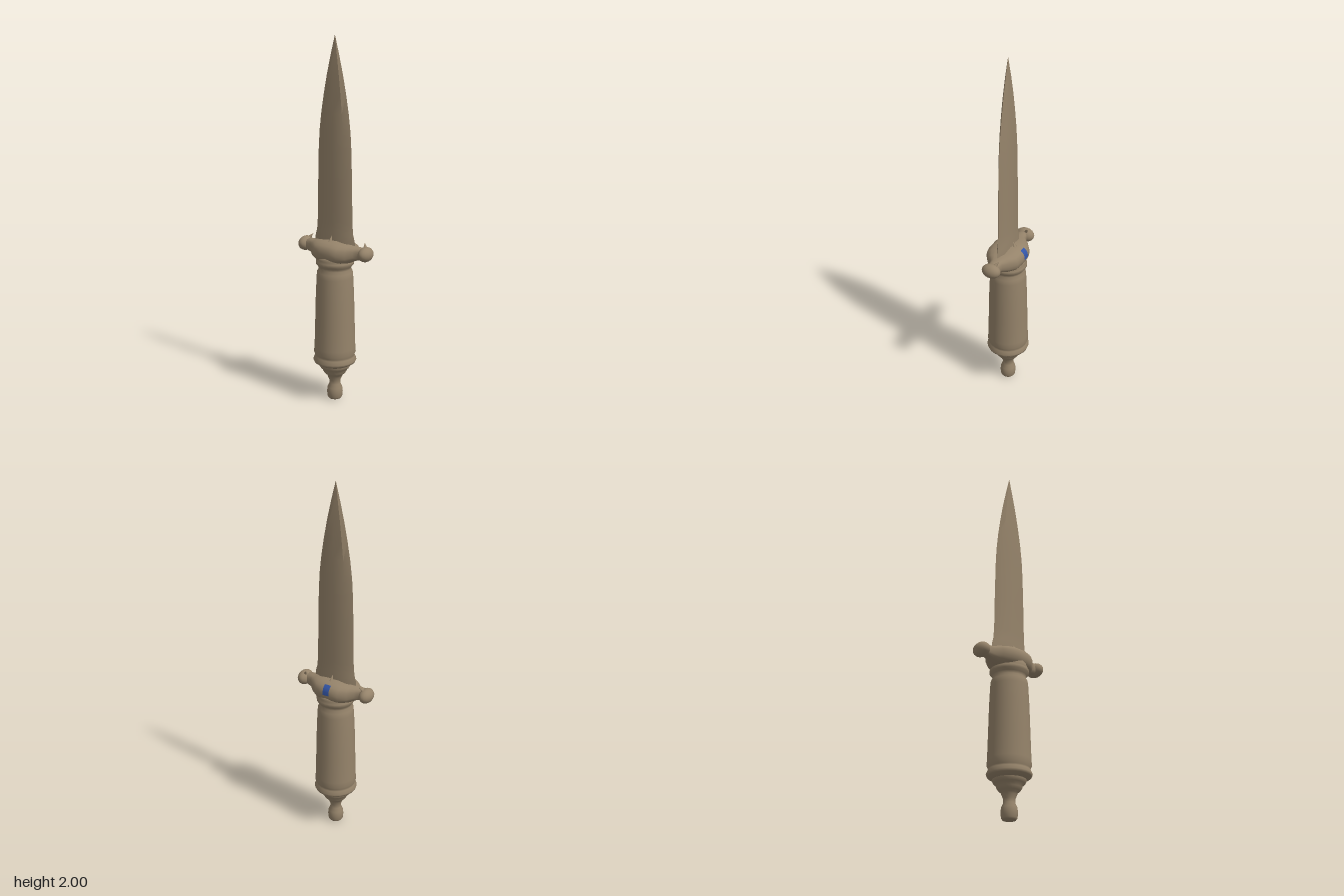
import * as THREE from 'three';
import { toCreasedNormals } from 'three/addons/utils/BufferGeometryUtils.js';

const V = (x, y, z) => new THREE.Vector3(x, y, z);

// Skins a list of rings; rings run counterclockwise about the loft direction.
function loft(rings, closed = true) {
  const n = rings[0].length, index = [];
  for (let i = 0; i < rings.length - 1; i++) {
    for (let j = 0; j < (closed ? n : n - 1); j++) {
      const k = (j + 1) % n;
      const a = i * n + j, b = i * n + k, c = (i + 1) * n + k, d = (i + 1) * n + j;
      index.push(a, b, c, a, c, d);
    }
  }
  const geo = new THREE.BufferGeometry().setFromPoints(rings.flat());
  geo.setIndex(index);
  geo.computeVertexNormals();
  return geo;
}

// Guard stations: x, centre y, half height, half depth.
const guardStations = [
  [-0.2, 0.862, 0.02, 0.03], [-0.17, 0.864, 0.034, 0.03], [-0.14, 0.86, 0.038, 0.038],
  [-0.11, 0.857, 0.05, 0.068], [-0.07, 0.855, 0.058, 0.096], [-0.03, 0.857, 0.062, 0.104],
  [0.03, 0.857, 0.062, 0.104], [0.07, 0.855, 0.058, 0.096], [0.11, 0.857, 0.05, 0.068],
  [0.14, 0.86, 0.038, 0.038], [0.17, 0.864, 0.034, 0.03], [0.2, 0.862, 0.02, 0.03],
];
const round = (v) => Math.sign(v) * Math.abs(v) ** 0.8;
function guardPoint([x, cy, hy, hz], t, lift = 0) {
  return V(x, cy + (hy + lift) * round(Math.cos(t)), (hz + lift) * round(Math.sin(t)));
}

export function createModel() {
  const bronze = new THREE.MeshStandardMaterial({ color: 0x95836a });
  bronze.name = 'aged bronze';
  const blue = new THREE.MeshStandardMaterial({ color: 0x3355a5, side: THREE.DoubleSide });
  blue.name = 'blue';

  const model = new THREE.Group();
  model.name = 'dagger';
  const add = (name, geo, material = bronze, parent = model) => {
    const mesh = new THREE.Mesh(geo, material);
    mesh.name = name;
    parent.add(mesh);
    return mesh;
  };

  // Blade: height, half width, half thickness
  const bladeRings = [
    [0.84, 0.13, 0.028], [0.92, 0.13, 0.028], [0.96, 0.119, 0.026], [1.02, 0.114, 0.025],
    [1.2, 0.111, 0.025], [1.4, 0.106, 0.024], [1.5, 0.1, 0.023], [1.6, 0.088, 0.022],
    [1.7, 0.071, 0.019], [1.8, 0.051, 0.015], [1.9, 0.027, 0.009], [2, 0.0005, 0.0005],
  ].map(([y, w, d]) => [
    [0, 1], [0.65, 0.85], [1, 0], [0.65, -0.85], [0, -1], [-0.65, -0.85], [-1, 0], [-0.65, 0.85],
  ].map(([u, v]) => V(u * w, y, v * d)));
  add('blade', toCreasedNormals(loft(bladeRings), 0.5));

  // Handle: turned grip, with the collar under the guard
  const lathe = (pts) => new THREE.LatheGeometry(pts.map(([r, y]) => new THREE.Vector2(r, y)), 24);
  add('grip', lathe([
    [0, 0.2], [0.085, 0.205], [0.114, 0.222], [0.119, 0.235], [0.11, 0.255], [0.108, 0.265],
    [0.116, 0.28], [0.113, 0.31], [0.109, 0.45], [0.105, 0.6], [0.1, 0.71], [0.097, 0.74],
    [0.087, 0.757], [0.092, 0.772], [0.104, 0.785], [0.104, 0.8], [0.097, 0.812],
    [0.1, 0.84], [0, 0.86],
  ]));

  // Stepped pommel with a rounded end knob
  add('pommel', lathe([
    [0, 0], [0.034, 0.002], [0.041, 0.012], [0.044, 0.04], [0.041, 0.066], [0.031, 0.088],
    [0.031, 0.11], [0.04, 0.13], [0.043, 0.14], [0.055, 0.15], [0.066, 0.165],
    [0.068, 0.178], [0.08, 0.186], [0.088, 0.2], [0.088, 0.212],
  ]));

  // Guard: swollen middle tapering to two arms
  const guard = new THREE.Group();
  guard.name = 'guard';
  model.add(guard);
  const angles = Array.from({ length: 20 }, (_, i) => (i / 20) * Math.PI * 2);
  add('guardBody', loft(guardStations.map((s) => angles.map((t) => guardPoint(s, t)))), bronze, guard);

  for (const side of [-1, 1]) {
    // Knob and small curled spur at each arm end
    const knob = add(side < 0 ? 'rightKnob' : 'leftKnob', new THREE.SphereGeometry(1, 16, 12), bronze, guard);
    knob.scale.set(0.037, 0.04, 0.053);
    knob.position.set(side * 0.199, 0.865, side < 0 ? -0.006 : -0.001);
    const spur = add('spur', new THREE.ConeGeometry(0.017, 0.05, 8), bronze, guard);
    spur.position.set(side * 0.182, 0.9, -0.022);
    spur.rotation.set(-0.6, 0, side * 0.5);

    // Pointed tongue rising against each face of the blade
    const tongue = add(side < 0 ? 'backTongue' : 'frontTongue', new THREE.ConeGeometry(0.04, 0.11, 8), bronze, guard);
    tongue.scale.z = 0.8;
    tongue.position.set(0, 0.893, side * 0.05);
    tongue.rotation.x = -side * 0.4;
  }

  // Blue patch hugging the back of the guard
  const patchAngles = [-1.6, -1.4, -1.2, -1, -0.8];
  const patch = [-0.024, -0.004, 0.014].map((x) =>
    patchAngles.map((t) => guardPoint([x, 0.857, 0.062, 0.104], t, 0.004)));
  add('bluePatch', loft(patch, false), blue, guard);

  return model;
}
